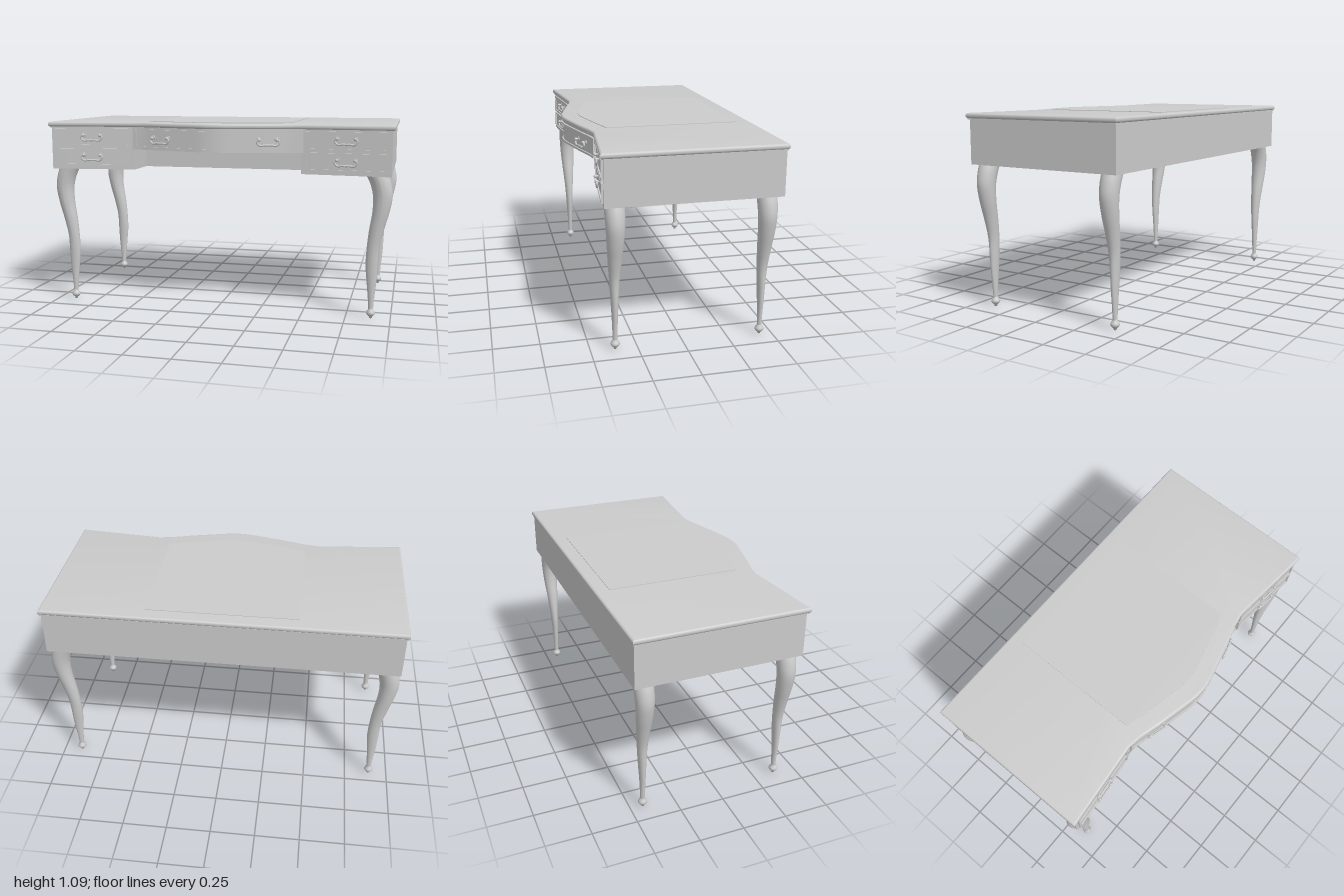
import * as THREE from 'three';
import { toCreasedNormals } from 'three/addons/utils/BufferGeometryUtils.js';

const material = new THREE.MeshStandardMaterial({ color: 0xcccccc });

// Half of the serpentine front edge of the table top: [x, z]
const EDGE = [[0, 0.51], [0.05, 0.507], [0.1, 0.497], [0.3, 0.449], [0.42, 0.415], [0.5, 0.402], [1, 0.45]];

function frontZ(x) {
  const a = Math.min(Math.abs(x), 1);
  const i = Math.max(1, EDGE.findIndex((p) => p[0] >= a));
  const [x0, z0] = EDGE[i - 1], [x1, z1] = EDGE[i];
  return z0 + ((z1 - z0) * (a - x0)) / (x1 - x0);
}

function add(parent, name, geometry) {
  const mesh = new THREE.Mesh(geometry, material);
  mesh.name = name;
  parent.add(mesh);
  return mesh;
}

// Front edge from right to left, cut to a half width and set back by an inset
function frontLine(half, inset) {
  const xs = EDGE.map((p) => p[0]).filter((x) => x < half).concat(half);
  return [...xs.slice(1).reverse(), ...xs.map((x) => -x)].map((x) => [x, frontZ(x) - inset]);
}

// Extrude a plan outline of [x, z] points upward from y0 to y1
function slab(points, y0, y1, bevel = 0) {
  const shape = new THREE.Shape(points.map(([x, z]) => new THREE.Vector2(x, -z)));
  const geometry = new THREE.ExtrudeGeometry(shape, {
    depth: y1 - y0 - 2 * bevel, bevelEnabled: bevel > 0, bevelSize: bevel,
    bevelThickness: bevel, bevelOffset: -bevel, bevelSegments: 4,
  });
  geometry.rotateX(-Math.PI / 2).translate(0, y0 + bevel, 0);
  return bevel ? toCreasedNormals(geometry, 0.5) : geometry;
}

// Strip that follows the curved front, standing out to the given offset
function bentStrip(x0, x1, y0, y1, out) {
  const depth = 0.03;
  const geometry = new THREE.BoxGeometry(x1 - x0, y1 - y0, depth, Math.ceil((x1 - x0) / 0.03), 1, 1);
  geometry.translate((x0 + x1) / 2, (y0 + y1) / 2, out - depth / 2);
  const p = geometry.attributes.position;
  for (let i = 0; i < p.count; i++) p.setZ(i, p.getZ(i) + frontZ(p.getX(i)));
  geometry.computeVertexNormals();
  return geometry;
}

function drawer(x0, x1, y0, y1) {
  const group = new THREE.Group();
  const b = 0.012;
  group.name = 'drawer';
  add(group, 'drawerPanel', bentStrip(x0 + b, x1 - b, y0 + b, y1 - b, -0.011));
  add(group, 'drawerTopMoulding', bentStrip(x0, x1, y1 - b, y1, -0.004));
  add(group, 'drawerBottomMoulding', bentStrip(x0, x1, y0, y0 + b, -0.004));
  add(group, 'drawerEndMoulding', bentStrip(x0, x0 + b, y0 + b, y1 - b, -0.004));
  add(group, 'drawerEndMoulding', bentStrip(x1 - b, x1, y0 + b, y1 - b, -0.004));
  return group;
}

// Drop handle: two posts and a hanging bail, turned to lie along the front
function handle(x, y) {
  const group = new THREE.Group();
  group.name = 'handle';
  for (const s of [-1, 1]) {
    const rose = add(group, 'handleRose', new THREE.CylinderGeometry(0.012, 0.014, 0.006, 16).rotateX(Math.PI / 2));
    rose.position.set(s * 0.05, 0.012, 0.001);
    const post = add(group, 'handlePost', new THREE.CylinderGeometry(0.005, 0.006, 0.018, 12).rotateX(Math.PI / 2));
    post.position.set(s * 0.05, 0.012, 0.009);
    const knob = add(group, 'handleKnob', new THREE.SphereGeometry(0.009, 14, 10));
    knob.position.set(s * 0.05, 0.012, 0.017);
  }
  const half = [[0.05, 0.012], [0.062, 0.003], [0.056, -0.012], [0.042, -0.02], [0.02, -0.017]];
  const path = [...half.map(([a, b]) => [-a, b]), [0, -0.018], ...half.slice().reverse()];
  const curve = new THREE.CatmullRomCurve3(path.map(([a, b]) => new THREE.Vector3(a, b, 0.016)));
  add(group, 'handleBail', new THREE.TubeGeometry(curve, 48, 0.0055, 8));
  group.position.set(x, y, frontZ(x) - 0.012);
  group.rotation.y = -Math.atan((frontZ(x + 0.05) - frontZ(x - 0.05)) / 0.1);
  return group;
}

// Cabriole leg sections, top to bottom: [y, centre x, radius x, radius z]
const LEG = [
  [0.82, 0.903, 0.062, 0.053], [0.76, 0.927, 0.057, 0.052], [0.69, 0.939, 0.053, 0.049],
  [0.6, 0.93, 0.046, 0.044], [0.5, 0.909, 0.04, 0.036], [0.4, 0.893, 0.034, 0.028],
  [0.3, 0.889, 0.033, 0.022], [0.2, 0.891, 0.026, 0.017], [0.12, 0.891, 0.018, 0.014], [0.05, 0.891, 0.013, 0.012],
];

function leg(side, z) {
  const group = new THREE.Group();
  group.name = z > 0 ? 'frontLeg' : 'backLeg';
  const centre = new THREE.CatmullRomCurve3(LEG.map((s) => new THREE.Vector3(s[1], s[0], 0)), false, 'catmullrom');
  const radii = new THREE.CatmullRomCurve3(LEG.map((s) => new THREE.Vector3(s[2], s[0], s[3])), false, 'catmullrom');
  const geometry = new THREE.CylinderGeometry(1, 1, 1, 24, 45);
  const p = geometry.attributes.position;
  for (let i = 0; i < p.count; i++) {
    const t = Math.min(1, Math.max(0, 0.5 - p.getY(i)));
    const c = centre.getPoint(t), r = radii.getPoint(t);
    p.setXYZ(i, side * c.x + p.getX(i) * r.x, c.y, z + p.getZ(i) * r.z);
  }
  geometry.computeVertexNormals();
  add(group, 'legShaft', geometry);

  // Turned foot with a pointed tip
  const profile = [[0, 0], [0.007, 0.004], [0.009, 0.012], [0.021, 0.023], [0.025, 0.032], [0.022, 0.042], [0.014, 0.052], [0.012, 0.062]];
  const foot = add(group, 'legFoot', new THREE.LatheGeometry(profile.map(([a, b]) => new THREE.Vector2(a, b)), 24));
  foot.position.set(side * 0.891, 0, z);
  return group;
}

export function createModel() {
  const desk = new THREE.Group();
  desk.name = 'writingDesk';

  // Top with rounded edge, a lip beneath it and a thin writing surface
  add(desk, 'tableTop', slab([[-1, -0.51], [1, -0.51], ...frontLine(1, 0)], 1.055, 1.084, 0.012));
  add(desk, 'topLip', slab([[-0.992, -0.504], [0.992, -0.504], ...frontLine(0.992, 0.007)], 1.049, 1.056));
  add(desk, 'writingSurface', slab([[-0.42, -0.43], [0.42, -0.43], ...frontLine(0.42, 0.1)], 1.08, 1.087));

  // Carcass: full upper case, lower case with a knee recess
  add(desk, 'upperCase', slab([[-0.985, -0.5], [0.985, -0.5], ...frontLine(0.985, 0.016)], 0.925, 1.052));
  const outer = frontZ(0.985) - 0.016, inner = frontZ(0.49) - 0.016;
  add(desk, 'lowerCase', slab([
    [-0.985, -0.5], [0.985, -0.5], [0.985, outer], [0.49, inner], [0.49, 0.18],
    [-0.49, 0.18], [-0.49, inner], [-0.985, outer],
  ], 0.807, 0.925));

  // Drawers and handles
  desk.add(drawer(-0.48, 0.48, 0.932, 1.043));
  for (const s of [-1, 1]) {
    const [x0, x1] = s > 0 ? [0.51, 0.963] : [-0.963, -0.51];
    desk.add(drawer(x0, x1, 0.938, 1.045), drawer(x0, x1, 0.825, 0.928));
    desk.add(handle(s * 0.74, 0.995), handle(s * 0.74, 0.879), handle(s * 0.31, 0.985));
    desk.add(leg(s, 0.37), leg(s, -0.43));
  }
  return desk;
}
